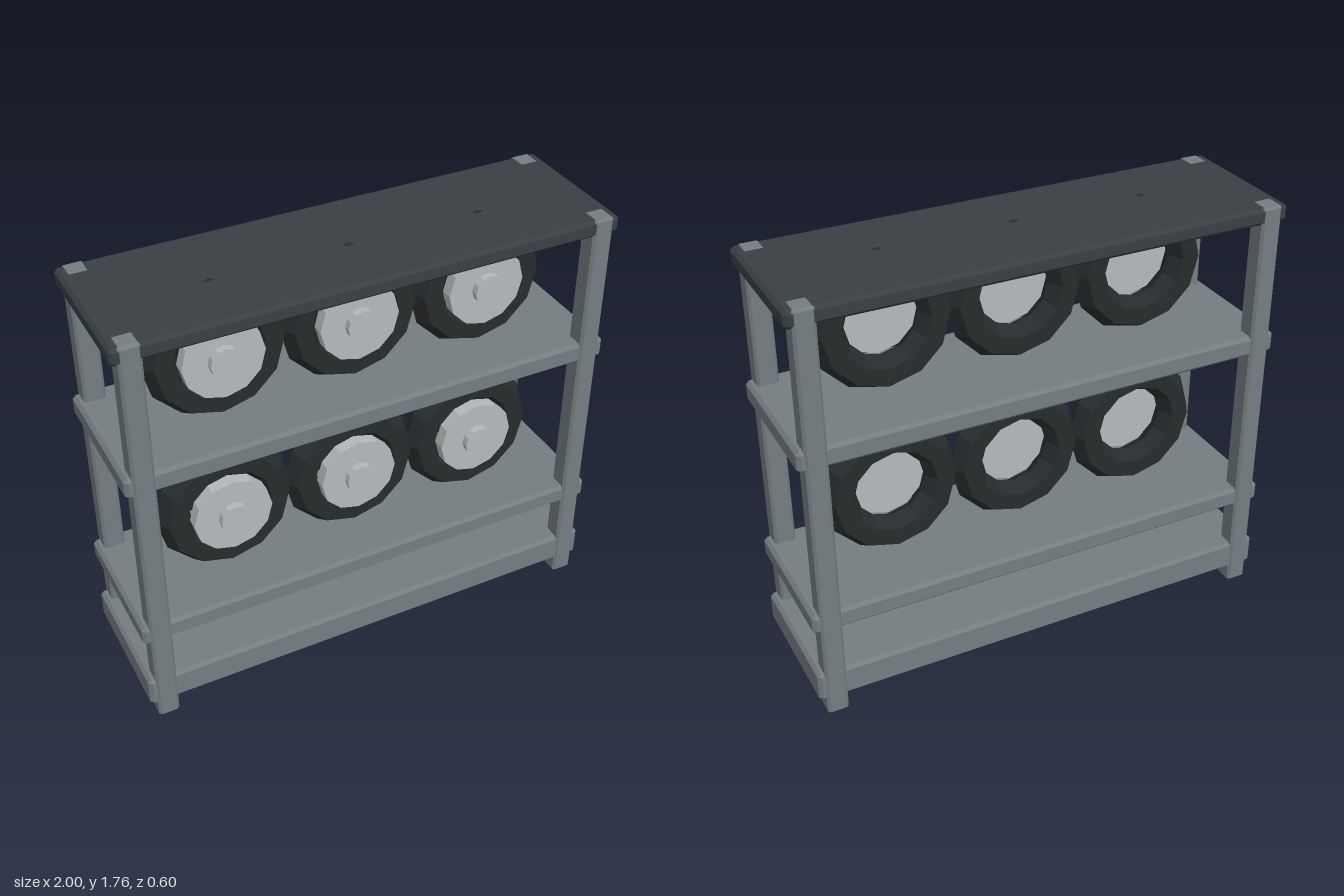
import * as THREE from 'three';
import { ConvexGeometry } from 'three/addons/geometries/ConvexGeometry.js';

const paint = (color) => new THREE.MeshStandardMaterial({ color, flatShading: true, side: THREE.DoubleSide });

// Box with flat chamfered edges
function chamferBox(w, h, d, b) {
  const points = [];
  for (const x of [-w / 2, w / 2]) for (const y of [-h / 2, h / 2]) for (const z of [-d / 2, d / 2]) {
    const sx = Math.sign(x) * b, sy = Math.sign(y) * b, sz = Math.sign(z) * b;
    points.push(
      new THREE.Vector3(x, y - sy, z - sz),
      new THREE.Vector3(x - sx, y, z - sz),
      new THREE.Vector3(x - sx, y - sy, z),
    );
  }
  return new ConvexGeometry(points);
}

export function createModel() {
  const rack = new THREE.Group();
  rack.name = 'wheelRack';
  const steel = paint(0x737d80);
  const darkSteel = paint(0x383f43);
  const rubber = paint(0x272b2d);
  const alloy = paint(0xb4babc);

  const add = (parent, name, geometry, material, x, y, z) => {
    const mesh = new THREE.Mesh(geometry, material);
    mesh.name = name;
    mesh.position.set(x, y, z);
    parent.add(mesh);
    return mesh;
  };

  // Corner posts
  const post = chamferBox(0.086, 1.757, 0.086, 0.01);
  for (const x of [-0.93, 0.93]) for (const z of [-0.256, 0.256]) {
    add(rack, 'post', post, steel, x, 1.757 / 2, z);
  }

  // Shelves and top, as [name, bottom, top, depth, material]
  const boards = [
    ['bottomShelf', 0.07, 0.2, 0.584, steel],
    ['lowerShelf', 0.4, 0.485, 0.584, steel],
    ['upperShelf', 1.122, 1.21, 0.584, steel],
    ['topBoard', 1.686, 1.755, 0.594, darkSteel],
  ];
  for (const [name, low, high, depth, material] of boards) {
    add(rack, name, chamferBox(2, high - low, depth, 0.014), material, 0, (low + high) / 2, 0);
  }

  // Two rows of three wheels
  const tyre = new THREE.TorusGeometry(0.215, 0.07, 6, 12);
  const rim = new THREE.CylinderGeometry(0.162, 0.162, 0.05, 12).rotateX(Math.PI / 2);
  const hub = new THREE.CylinderGeometry(0.063, 0.063, 0.04, 12).rotateX(Math.PI / 2);
  for (const y of [0.754, 1.477]) for (const x of [-0.541, 0, 0.541]) {
    const wheel = new THREE.Group();
    wheel.name = 'wheel';
    wheel.position.set(x, y, 0.03);
    add(wheel, 'tyre', tyre, rubber, 0, 0, 0);
    add(wheel, 'rim', rim, alloy, 0, 0, 0.07);
    add(wheel, 'hub', hub, alloy, 0, 0, 0.105);
    rack.add(wheel);
  }
  return rack;
}
